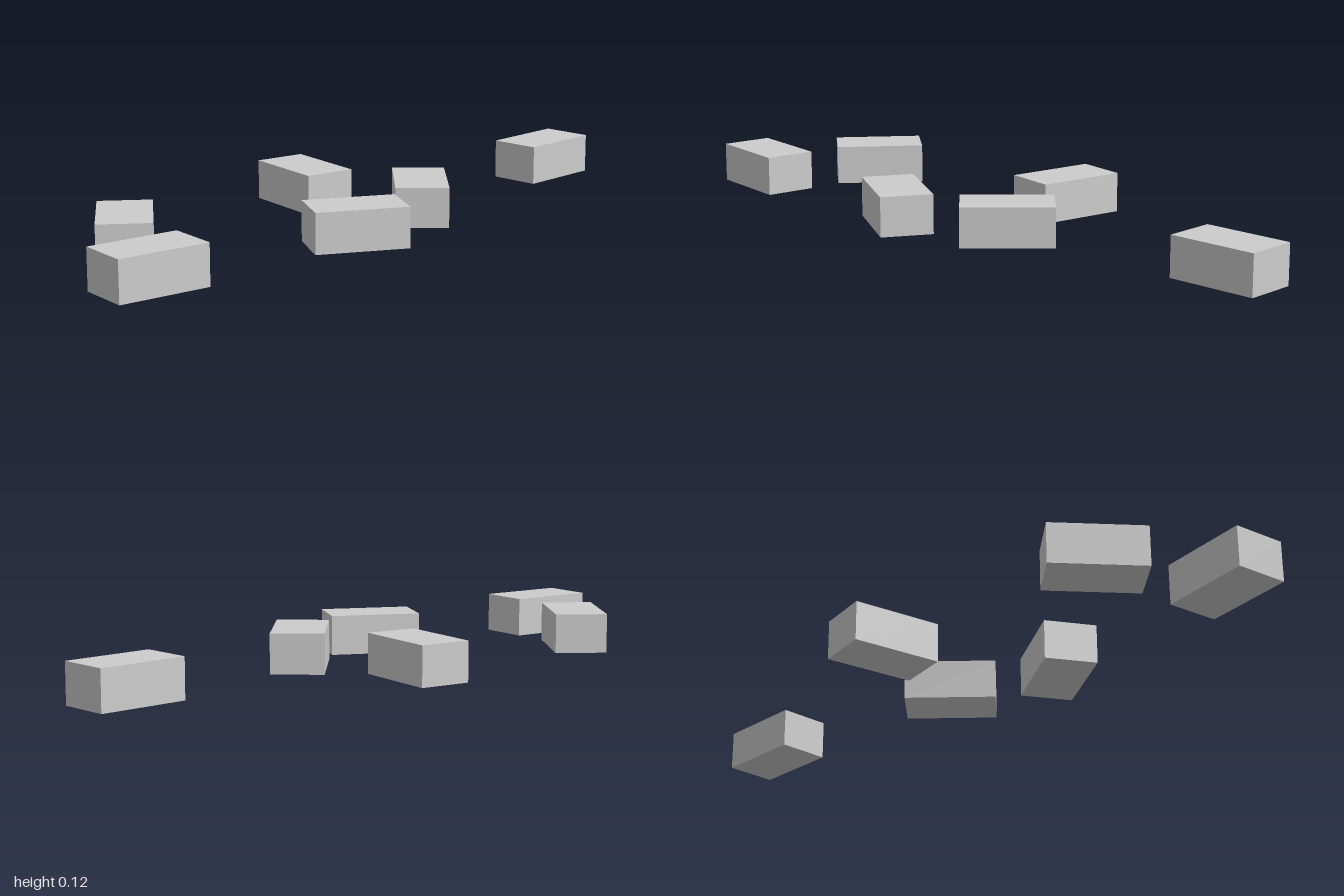
import * as THREE from 'three';

export function createModel() {
  const group = new THREE.Group();
  group.name = 'scatteredBricks';

  const grey = new THREE.MeshStandardMaterial({ color: 0xcccccc });
  grey.name = 'light grey';

  // One brick shape, standing on the ground
  const length = 0.274, height = 0.12, depth = 0.158;
  const brick = new THREE.BoxGeometry(length, height, depth);
  brick.translate(0, height / 2, 0);

  // Each brick: x, z, turn about the vertical
  const places = [
    [-0.857, 0.32, 0.078],
    [-0.75, -0.031, 1.103],
    [-0.164, 0.238, -0.311],
    [0.176, 0.07, 1.005],
    [-0.018, -0.27, 1.615],
    [0.848, -0.194, 0.225],
  ];
  places.forEach(([x, z, turn], i) => {
    const mesh = new THREE.Mesh(brick, grey);
    mesh.name = `brick${i + 1}`;
    mesh.position.set(x, 0, z);
    mesh.rotation.y = turn;
    group.add(mesh);
  });

  return group;
}
